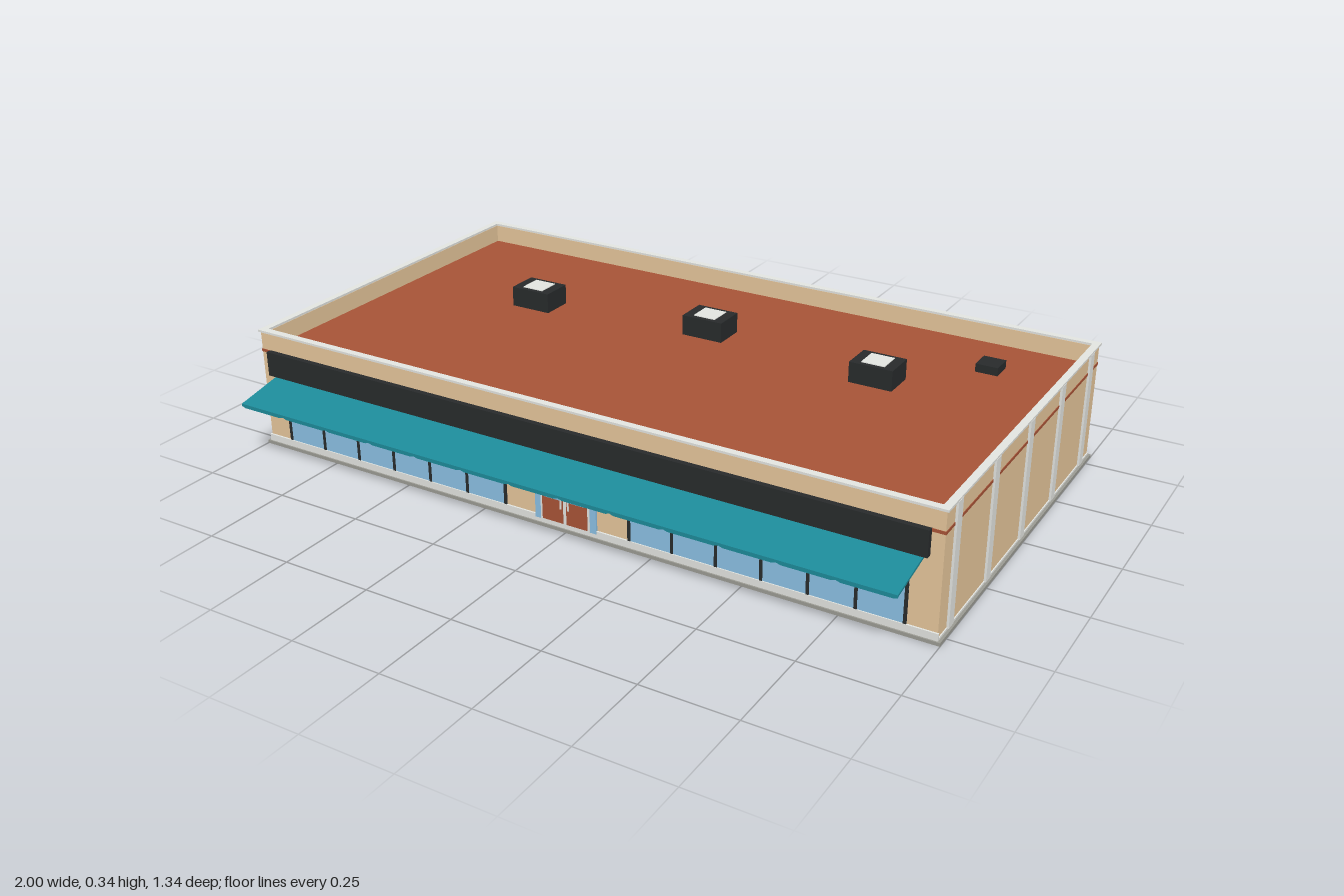
import * as THREE from 'three';

const mat = (name, color) => {
  const m = new THREE.MeshStandardMaterial({ color });
  m.name = name;
  return m;
};

export function createModel() {
  const tan = mat('tan wall', 0xe6c69b);
  const red = mat('brick red', 0xa85437);
  const teal = mat('teal', 0x1d8b9a);
  const glass = mat('glass blue', 0x8bc0e3);
  const pale = mat('pale grey', 0xe3e5e1);
  const dark = mat('charcoal', 0x282b2c);
  const concrete = mat('concrete', 0x9b9b93);

  const model = new THREE.Group();
  model.name = 'storeBuilding';

  // box given by its min and max on each axis
  const box = (name, m, x0, x1, y0, y1, z0, z1, parent = model) => {
    const mesh = new THREE.Mesh(new THREE.BoxGeometry(x1 - x0, y1 - y0, z1 - z0), m);
    mesh.position.set((x0 + x1) / 2, (y0 + y1) / 2, (z0 + z1) / 2);
    mesh.name = name;
    parent.add(mesh);
    return mesh;
  };
  const group = (name) => {
    const g = new THREE.Group();
    g.name = name;
    model.add(g);
    return g;
  };
  // rectangular ring with outer bounds and inward thickness
  const ring = (name, m, x, zb, zf, y0, y1, t) => {
    const g = group(name);
    box(name + 'Front', m, -x, x, y0, y1, zf - t, zf, g);
    box(name + 'Back', m, -x, x, y0, y1, zb, zb + t, g);
    for (const s of [-1, 1]) {
      const c = s * (x - t / 2);
      box(name + 'Side', m, c - t / 2, c + t / 2, y0, y1, zb + t, zf - t, g);
    }
  };

  const X = 0.99, ZB = -0.538, ZF = 0.528;

  // shell
  box('foundation', concrete, -1, 1, 0, 0.009, ZB - 0.007, ZF + 0.009);
  ring('plinth', pale, X + 0.003, ZB - 0.003, ZF + 0.003, 0.009, 0.015, 0.01);
  box('frontPlinth', pale, -X - 0.003, X + 0.003, 0.009, 0.028, ZF, ZF + 0.005);
  ring('wall', tan, X, ZB, ZF, 0.009, 0.334, 0.016);
  ring('coping', pale, X + 0.005, ZB - 0.005, ZF + 0.005, 0.334, 0.34, 0.02);
  box('roof', red, -X + 0.01, X - 0.01, 0.27, 0.283, ZB + 0.01, ZF - 0.01);
  ring('stripe', red, X + 0.0015, ZB - 0.0015, ZF + 0.0015, 0.2765, 0.2845, 0.005);

  // side pilasters
  const pilasters = group('pilasters');
  for (const s of [-1, 1])
    for (let i = -2; i <= 2; i++) {
      const z = -0.002 + i * 0.2325, c = s * (X + 0.002);
      box('pilaster', pale, c - 0.004, c + 0.004, 0.012, 0.335, z - 0.0145, z + 0.0145, pilasters);
    }

  // fascia sign band
  box('fascia', dark, -0.962, 0.958, 0.216, 0.285, ZF, 0.543);

  // sloping awning with scalloped valance
  const awning = group('awning');
  const profile = new THREE.Shape([
    [0.528, 0.207], [0.668, 0.179], [0.668, 0.185], [0.528, 0.214],
  ].map(([z, y]) => new THREE.Vector2(-z, y)));
  const slope = new THREE.Mesh(new THREE.ExtrudeGeometry(profile, { depth: 1.89, bevelEnabled: false }), teal);
  slope.rotation.y = Math.PI / 2;
  slope.position.x = -0.945;
  slope.name = 'awningSlope';
  awning.add(slope);
  const n = 13, w = 1.89 / n;
  const edge = new THREE.Shape();
  edge.moveTo(-0.945, 0.182);
  for (let i = 0; i < n; i++) {
    const x = -0.945 + i * w;
    edge.lineTo(x, 0.178);
    edge.lineTo(x + w * 0.08, 0.1745);
    edge.lineTo(x + w * 0.92, 0.1745);
  }
  edge.lineTo(0.945, 0.178);
  edge.lineTo(0.945, 0.182);
  const valance = new THREE.Mesh(new THREE.ExtrudeGeometry(edge, { depth: 0.003, bevelEnabled: false }), teal);
  valance.position.z = 0.665;
  valance.name = 'valance';
  awning.add(valance);

  // shop windows, six panes each side of the entrance
  for (const [a, b] of [[-0.918, -0.183], [0.18, 0.915]]) {
    const g = group('shopWindows');
    box('shopGlass', glass, a, b, 0.028, 0.196, ZF, ZF + 0.002, g);
    for (let i = 0; i <= 6; i++) {
      const x = a + 0.004 + (b - a - 0.008) * i / 6;
      box('mullion', dark, x - 0.004, x + 0.004, 0.028, 0.196, ZF, ZF + 0.004, g);
    }
  }

  // entrance with double doors
  const entrance = group('entrance');
  box('entranceGlass', glass, -0.092, 0.09, 0.02, 0.155, ZF, ZF + 0.006, entrance);
  box('entranceFrame', pale, -0.074, 0.072, 0.02, 0.153, ZF, ZF + 0.0075, entrance);
  for (const s of [-1, 1]) {
    const c = s * 0.036 - 0.001;
    box('doorLeaf', red, c - 0.031, c + 0.031, 0.024, 0.145, ZF, ZF + 0.009, entrance);
    box('doorGlass', glass, c - 0.023, c + 0.023, 0.088, 0.137, ZF, ZF + 0.01, entrance);
    box('doorHandle', pale, s * 0.011 - 0.0025, s * 0.011 + 0.0015, 0.065, 0.1, ZF, ZF + 0.012, entrance);
    box('entranceLamp', dark, s * 0.085 - 0.008, s * 0.085 + 0.006, 0.148, 0.156, ZF, ZF + 0.01, entrance);
  }

  // loading dock and its overhead door
  box('loadingDock', concrete, 0.272, 0.547, 0, 0.062, -0.667, ZB);
  const dock = group('loadingDoor');
  box('loadingDoorFrame', pale, 0.295, 0.522, 0.06, 0.206, ZB - 0.003, ZB, dock);
  box('loadingDoorPanel', pale, 0.306, 0.511, 0.06, 0.197, ZB - 0.005, ZB, dock);
  for (let i = 0; i < 4; i++) {
    const x = 0.313 + i * 0.0485;
    box('loadingDoorPane', glass, x, x + 0.0445, 0.145, 0.192, ZB - 0.006, ZB, dock);
  }
  box('panelSeam', concrete, 0.306, 0.511, 0.103, 0.105, ZB - 0.0055, ZB, dock);

  // rear window
  const rear = group('rearWindow');
  box('rearWindowFrame', pale, -0.467, -0.363, 0.104, 0.178, ZB - 0.003, ZB, rear);
  box('rearWindowGlass', glass, -0.459, -0.371, 0.112, 0.17, ZB - 0.004, ZB, rear);
  box('rearWindowBar', pale, -0.459, -0.371, 0.139, 0.143, ZB - 0.005, ZB, rear);
  box('rearWindowSill', pale, -0.473, -0.357, 0.098, 0.104, ZB - 0.011, ZB, rear);

  // rear door
  const back = group('rearDoor');
  box('rearDoorFrame', pale, -0.772, -0.69, 0.009, 0.168, ZB - 0.004, ZB, back);
  box('rearDoorLeaf', red, -0.76, -0.702, 0.012, 0.156, ZB - 0.006, ZB, back);
  box('rearDoorKnob', dark, -0.716, -0.708, 0.075, 0.085, ZB - 0.009, ZB, back);

  // rooftop units and small vent
  for (const [x, z] of [[-0.534, -0.13], [0, -0.19], [0.533, -0.13]]) {
    const g = group('roofUnit');
    box('unitBody', dark, x - 0.061, x + 0.061, 0.283, 0.34, z - 0.046, z + 0.046, g);
    box('unitLid', pale, x - 0.033, x + 0.033, 0.34, 0.342, z - 0.033, z + 0.033, g);
  }
  box('roofVent', dark, 0.731, 0.793, 0.283, 0.306, -0.377, -0.315);

  return model;
}
